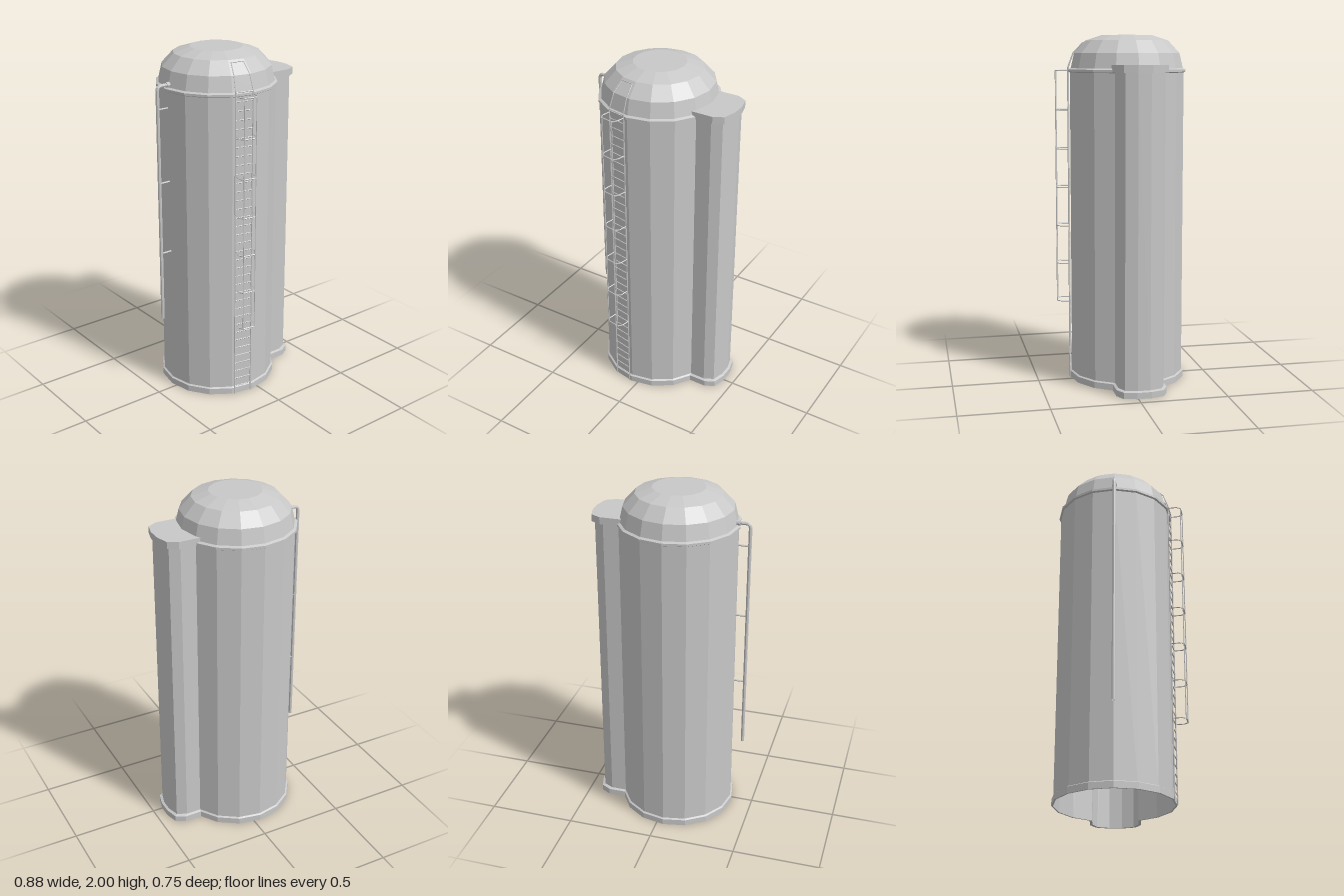
import * as THREE from 'three';

const CX = -0.04, CZ = -0.035; // tank axis
const SIDES = 16;
const STEP = (Math.PI * 2) / SIDES;

export function createModel() {
  const steel = new THREE.MeshStandardMaterial({ color: 0xc8c8c8, flatShading: true, side: THREE.DoubleSide });
  steel.name = 'grey steel';
  const model = new THREE.Group();
  model.name = 'silo';
  const silo = new THREE.Group();
  silo.name = 'siloParts';
  silo.position.set(CX, 0, CZ);
  model.add(silo);

  const add = (name, geometry, parent = silo) => {
    const mesh = new THREE.Mesh(geometry, steel);
    mesh.name = name;
    parent.add(mesh);
    return mesh;
  };

  // Round bar between two points
  const bar = (name, a, b, radius, parent, sides = 5) => {
    const from = new THREE.Vector3(...a), to = new THREE.Vector3(...b);
    const dir = to.clone().sub(from);
    const mesh = add(name, new THREE.CylinderGeometry(radius, radius, dir.length(), sides), parent);
    mesh.position.copy(from).add(to).multiplyScalar(0.5);
    mesh.quaternion.setFromUnitVectors(new THREE.Vector3(0, 1, 0), dir.normalize());
    return mesh;
  };

  // Bulging end of the side shaft, as [x, z]
  const shaftEnd = (inset) => {
    const half = [[0.405, 0.145], [0.46, 0.115], [0.48, 0.04]]
      .map(([x, z]) => [x - inset, z * (1 - inset / 0.145)]);
    return [...half.map(([x, z]) => [x, -z]), ...half.reverse()];
  };

  // Plan of the tank joined with its side shaft
  const outline = (radius, inset) => {
    const end = shaftEnd(inset);
    const w = end[5][1];
    const at = (k) => [radius * Math.cos(k * STEP), radius * Math.sin(k * STEP)];
    const [p, q] = [at(1), at(2)];
    const joinX = p[0] + (q[0] - p[0]) * (w - p[1]) / (q[1] - p[1]);
    const points = [[joinX, w]];
    for (let k = 2; k <= SIDES - 2; k++) points.push(at(k));
    points.push([joinX, -w], ...end);
    return points;
  };

  // Skin between stacked plans
  const loft = (levels) => {
    const pos = [];
    for (let l = 0; l < levels.length - 1; l++) {
      const [lo, y0] = levels[l], [hi, y1] = levels[l + 1];
      for (let i = 0; i < lo.length; i++) {
        const j = (i + 1) % lo.length;
        const a = [lo[i][0], y0, lo[i][1]], b = [lo[j][0], y0, lo[j][1]];
        const c = [hi[j][0], y1, hi[j][1]], d = [hi[i][0], y1, hi[i][1]];
        pos.push(...a, ...d, ...c, ...a, ...c, ...b);
      }
    }
    const g = new THREE.BufferGeometry();
    g.setAttribute('position', new THREE.Float32BufferAttribute(pos, 3));
    g.computeVertexNormals();
    return g;
  };

  // Walls, open at the bottom, and the foot ring
  const wall = outline(0.33, 0.014), rim = outline(0.34, 0);
  add('wall', loft([[wall, 0], [wall, 1.8]]));
  add('footRing', loft([[wall, 0], [rim, 0], [rim, 0.036], [wall, 0.042]]));

  // Domed roof with its flange
  const roof = [[0.33, 1.79], [0.34, 1.795], [0.34, 1.808], [0.325, 1.815],
    [0.305, 1.9], [0.24, 1.97], [0.147, 2], [0, 2]];
  add('domeRoof', new THREE.LatheGeometry(roof.map(([r, y]) => new THREE.Vector2(r, y)), SIDES));

  // Flat cap over the side shaft
  const capPlan = [[0.25, -0.145], ...shaftEnd(0), [0.25, 0.145]];
  const cap = new THREE.ExtrudeGeometry(
    new THREE.Shape(capPlan.map(([x, z]) => new THREE.Vector2(x, z))), { depth: 0.04, bevelEnabled: false });
  cap.rotateX(Math.PI / 2);
  add('shaftCap', cap).position.y = 1.835;

  // Ladder group: x along the wall facet, z outward from the tank axis
  const ladder = new THREE.Group();
  ladder.name = 'ladder';
  ladder.rotation.y = -STEP / 2;
  silo.add(ladder);
  const half = 0.052, out = 0.336;
  for (const s of [-1, 1]) {
    const x = s * half;
    bar('ladderRail', [x, 0, out], [x, 1.82, out], 0.004, ladder);
    // Handrail over the dome
    bar('handrail', [x, 1.82, out], [x * 0.9, 1.9, 0.306], 0.003, ladder);
    bar('handrail', [x * 0.9, 1.9, 0.306], [x * 0.7, 1.96, 0.25], 0.003, ladder);
    // Upright of the safety cage
    bar('cageUpright', [s * 0.036, 0.455, 0.408], [s * 0.036, 1.8, 0.408], 0.003, ladder);
  }
  bar('handrailEnd', [-half * 0.7, 1.96, 0.25], [half * 0.7, 1.96, 0.25], 0.003, ladder);
  for (let y = 0.05; y < 1.82; y += 0.0505) {
    bar('rung', [-half, y, out], [half, y, out], 0.0028, ladder);
  }

  // Cage hoops
  const hoop = [[-half, out], [-half, 0.387], [-0.036, 0.408], [0.036, 0.408], [half, 0.387], [half, out]];
  for (let n = 0; n < 7; n++) {
    const y = 0.457 + n * 0.224;
    for (let i = 0; i < hoop.length - 1; i++) {
      const [a, b] = [hoop[i], hoop[i + 1]];
      bar('cageHoop', [a[0], y, a[1]], [b[0], y, b[1]], 0.0035, ladder, 4);
    }
  }

  // Filling pipe with a bend at the top, a collar and wall brackets
  const path = new THREE.CurvePath();
  const v = (x, y) => new THREE.Vector3(x, y, 0);
  path.add(new THREE.LineCurve3(v(-0.395, 0.455), v(-0.395, 1.805)));
  path.add(new THREE.QuadraticBezierCurve3(v(-0.395, 1.805), v(-0.395, 1.83), v(-0.37, 1.83)));
  path.add(new THREE.LineCurve3(v(-0.37, 1.83), v(-0.31, 1.83)));
  add('fillPipe', new THREE.TubeGeometry(path, 120, 0.01, 8));
  bar('pipeCollar', [-0.338, 1.83, 0], [-0.318, 1.83, 0], 0.015, silo, 8);
  for (const y of [0.862, 1.282, 1.702]) {
    bar('pipeBracket', [-0.395, y, 0], [-0.325, y, 0], 0.005, silo, 6);
  }

  return model;
}
